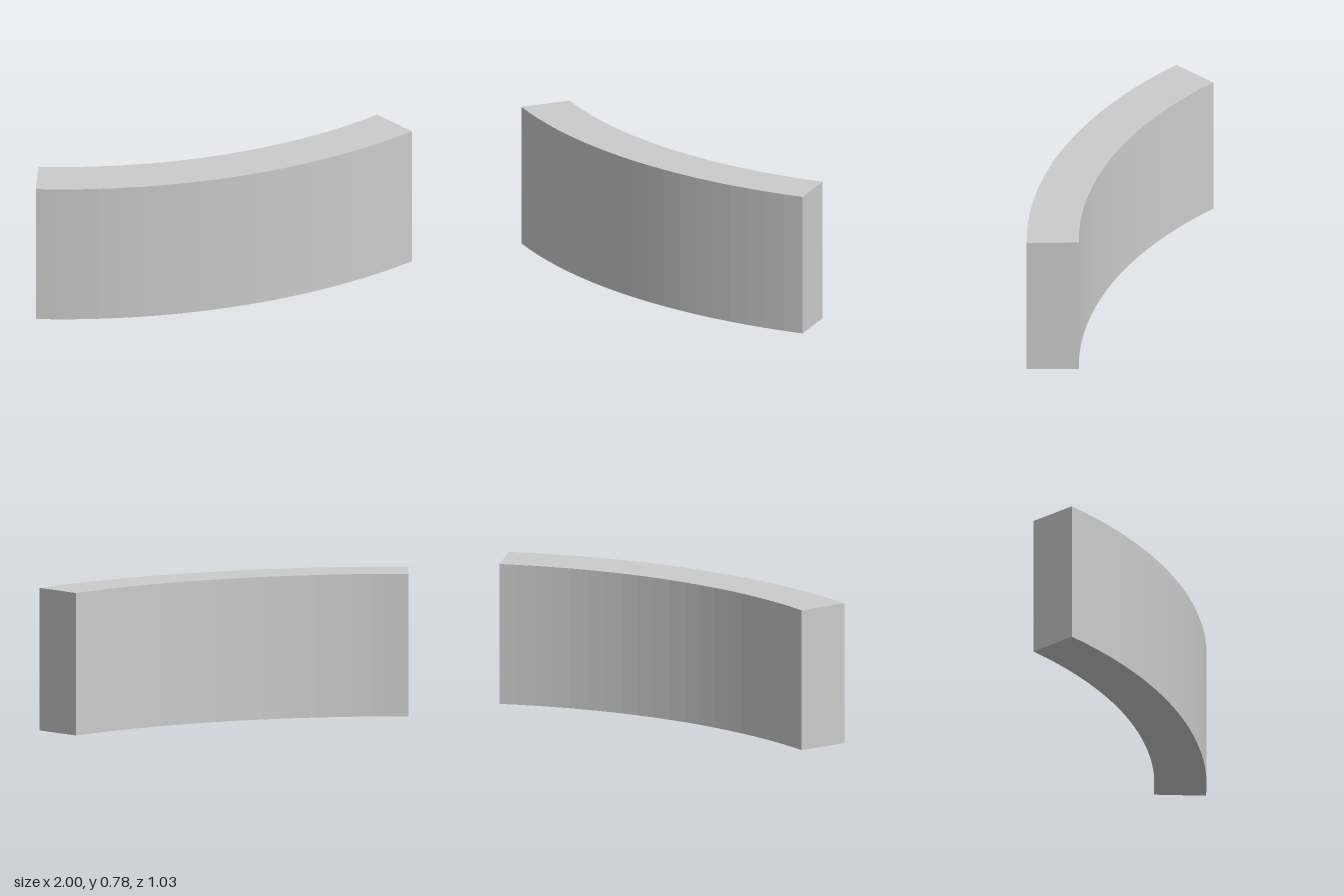
import * as THREE from 'three';

export function createModel() {
  const model = new THREE.Group();
  const outer = 2.828, inner = 2.546, height = 0.78;
  const cx = -1, cy = 2.314; // arc centre in plan (shape y is -z)
  const start = -Math.PI / 2, end = -Math.PI / 4;

  // Plan outline: an eighth of a ring
  const plan = new THREE.Shape();
  plan.absarc(cx, cy, outer, start, end, false);
  plan.absarc(cx, cy, inner, end, start, true);
  plan.closePath();

  // Arcs get two segments per curveSegment, so 20 flat facets each
  const geometry = new THREE.ExtrudeGeometry(plan, {
    depth: height, bevelEnabled: false, curveSegments: 10,
  });
  geometry.rotateX(-Math.PI / 2);

  const wall = new THREE.Mesh(
    geometry,
    new THREE.MeshStandardMaterial({ color: 0xcccccc, flatShading: true }),
  );
  wall.name = 'curvedWall';
  model.add(wall);
  return model;
}
